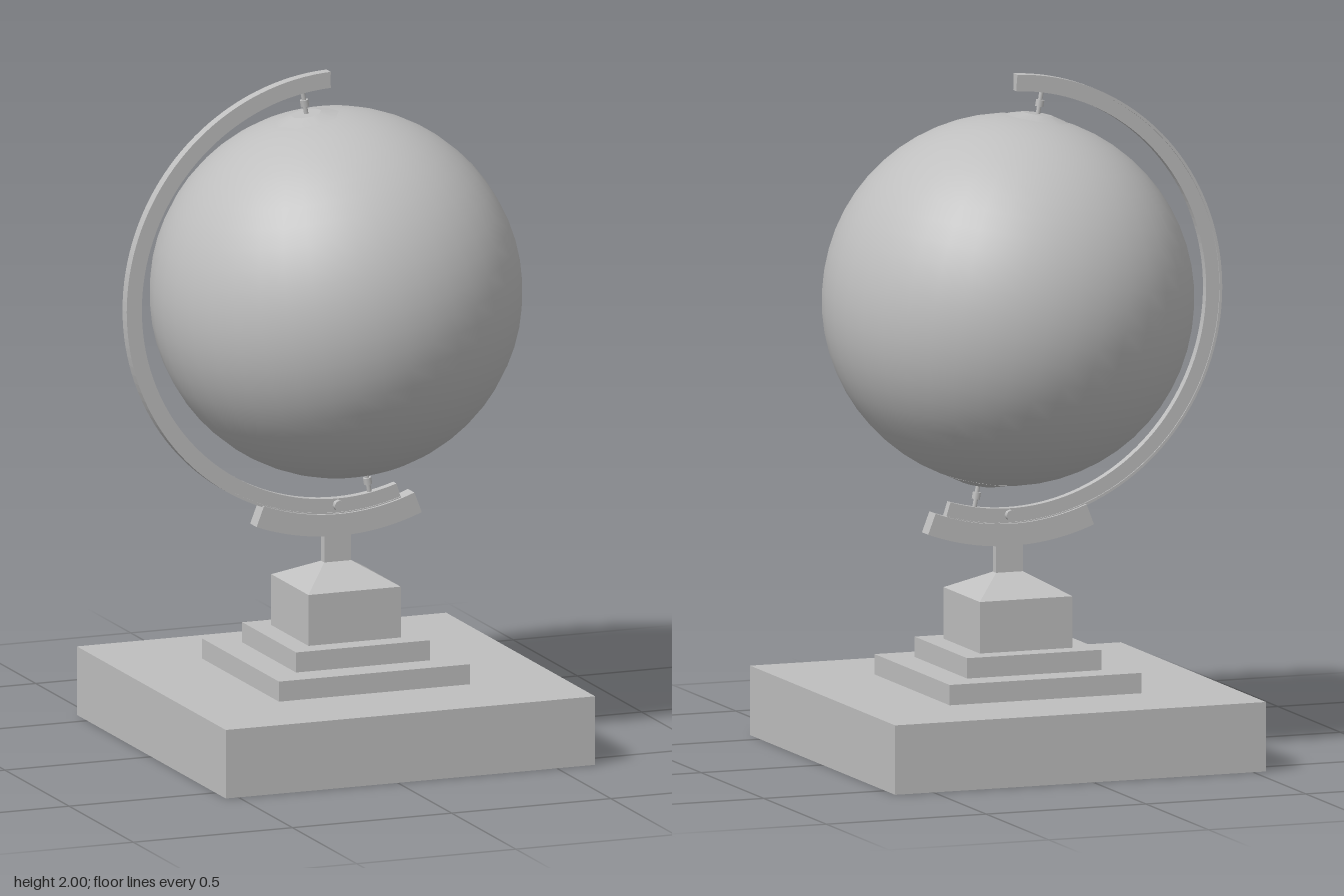
import * as THREE from 'three';

const CX = 0.04, CY = 1.34; // globe centre
const R = 0.544;            // globe radius

export function createModel() {
  const model = new THREE.Group();
  model.name = 'deskGlobe';
  const grey = new THREE.MeshStandardMaterial({ color: 0xbfbfbf });
  grey.name = 'grey';
  const greyFlat = grey;

  function add(name, geometry, x = 0, y = 0, z = 0, parent = model) {
    const mesh = new THREE.Mesh(geometry, greyFlat);
    mesh.name = name;
    mesh.position.set(x, y, z);
    parent.add(mesh);
    return mesh;
  }

  // Curved bar around the globe centre, angles in degrees
  function arcBar(name, inner, outer, from, to, width, segments) {
    const a = THREE.MathUtils.degToRad(from), b = THREE.MathUtils.degToRad(to);
    const shape = new THREE.Shape();
    shape.absarc(0, 0, outer, a, b, false);
    shape.absarc(0, 0, inner, b, a, true);
    const geometry = new THREE.ExtrudeGeometry(shape, {
      depth: width, bevelEnabled: false, curveSegments: segments,
    });
    geometry.translate(0, 0, -width / 2);
    return add(name, geometry, CX, CY, 0);
  }

  // Stepped square base
  const steps = [
    ['base', 1.16, 0, 0.205],
    ['lowerStep', 0.6, 0.205, 0.265],
    ['upperStep', 0.42, 0.265, 0.325],
    ['pedestal', 0.29, 0.325, 0.477],
  ];
  for (const [name, size, y0, y1] of steps) {
    add(name, new THREE.BoxGeometry(size, y1 - y0, size), CX, (y0 + y1) / 2, 0);
  }

  // Hipped roof of the pedestal, narrowing to the post
  const roof = new THREE.BoxGeometry(0.29, 0.06, 0.29);
  const p = roof.attributes.position;
  for (let i = 0; i < p.count; i++) {
    if (p.getY(i) > 0) p.setXYZ(i, Math.sign(p.getX(i)) * 0.042, 0.03, Math.sign(p.getZ(i)) * 0.013);
  }
  roof.computeVertexNormals();
  add('pedestalRoof', roof, CX, 0.507, 0);
  add('post', new THREE.BoxGeometry(0.084, 0.11, 0.026), CX, 0.58, 0);

  // Cradle and the meridian arm with its outer flange
  arcBar('cradle', 0.659, 0.724, 249, 291, 0.05, 12);
  arcBar('armWeb', 0.615, 0.658, 92, 287.5, 0.026, 40);
  arcBar('armFlange', 0.656, 0.664, 92, 287.5, 0.033, 40);

  // Clamp screw through the arm
  const screw = add('clampScrew', new THREE.CylinderGeometry(0.016, 0.016, 0.06, 8), CX, 0.706, 0);
  screw.rotation.x = Math.PI / 2;

  // Tilted globe with a cap and pivot at each pole
  const globe = new THREE.Group();
  globe.name = 'globe';
  globe.position.set(CX, CY, 0);
  globe.rotation.z = THREE.MathUtils.degToRad(9.8);
  model.add(globe);
  add('sphere', new THREE.SphereGeometry(R, 40, 28), 0, 0, 0, globe);

  for (const side of [1, -1]) {
    const pole = new THREE.Group();
    pole.name = side > 0 ? 'northPivot' : 'southPivot';
    if (side < 0) pole.rotation.z = Math.PI;
    globe.add(pole);
    add('poleCap', new THREE.CylinderGeometry(0.045, 0.096, 0.014, 9), 0, 0.543, 0, pole);
    add('pin', new THREE.CylinderGeometry(0.007, 0.007, 0.075, 8), 0, 0.58, 0, pole);
    add('pinCollar', new THREE.CylinderGeometry(0.013, 0.013, 0.02, 8), 0, 0.582, 0, pole);
  }

  return model;
}
